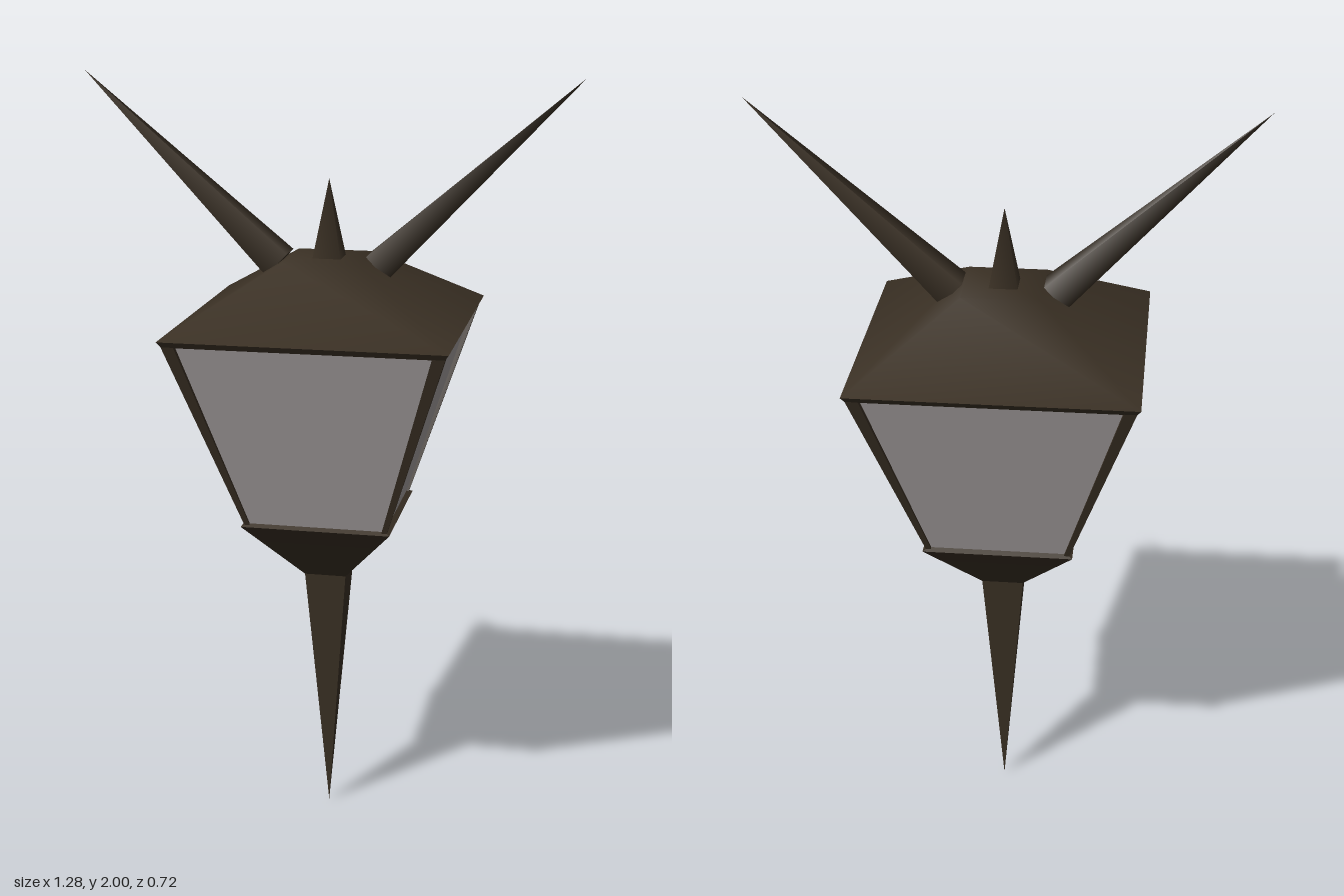
import * as THREE from 'three';
import { mergeVertices } from 'three/addons/utils/BufferGeometryUtils.js';

const ROOT2 = Math.SQRT2;

// Square solid from a profile of [half width, height], bottom to top
function squareLathe(profile, smooth) {
  const points = profile.map(([half, y]) => new THREE.Vector2(half * ROOT2, y));
  let geo = new THREE.LatheGeometry(points, 4, Math.PI / 4);
  geo.deleteAttribute('uv');
  geo.deleteAttribute('normal');
  geo = smooth ? mergeVertices(geo, 1e-4) : geo.toNonIndexed();
  geo.computeVertexNormals();
  return geo;
}

// Box whose x and z ranges differ between its bottom and top
function taperedBox(y0, y1, bottom, top) {
  const geo = new THREE.BoxGeometry(1, 1, 1);
  const p = geo.attributes.position;
  for (let i = 0; i < p.count; i++) {
    const up = p.getY(i) > 0;
    const [xMin, xMax, zMin, zMax] = up ? top : bottom;
    p.setXYZ(i, p.getX(i) > 0 ? xMax : xMin, up ? y1 : y0, p.getZ(i) > 0 ? zMax : zMin);
  }
  geo.computeVertexNormals();
  return geo;
}

// Four-sided pyramid with softly shaded sides, base at the origin
function spikeGeometry(half, height) {
  return new THREE.ConeGeometry(half * ROOT2, height, 4)
    .rotateY(Math.PI / 4)
    .translate(0, height / 2, 0);
}

export function createModel() {
  const lantern = new THREE.Group();
  lantern.name = 'lantern';
  const metal = new THREE.MeshStandardMaterial({ color: 0x3a3024 });
  metal.name = 'dark bronze';
  const glass = new THREE.MeshStandardMaterial({ color: 0xaaa4a4 });
  glass.name = 'frosted glass';

  const add = (name, geo, mat = metal) => {
    const mesh = new THREE.Mesh(geo, mat);
    mesh.name = name;
    lantern.add(mesh);
    return mesh;
  };

  // Roof and the thin rim under it
  add('roof', squareLathe([[0.36, 1.38], [0.1, 1.54], [0, 1.54]], true));
  add('roofRim', squareLathe([[0, 1.365], [0.35, 1.365], [0.36, 1.38]], false));

  // Funnel under the glass, its lid, and the long pointed stem
  add('funnel', squareLathe([[0.055, 0.69], [0.195, 0.86]], true));
  add('funnelLid', squareLathe([[0.195, 0.86], [0.175, 0.87], [0, 0.87]], false));
  add('stem', squareLathe([[0, 0], [0.055, 0.69], [0, 0.69]], false));

  // Corner posts and glass panes, one of each per side
  const postGeo = taperedBox(0.86, 1.37,
    [0.172, 0.186, 0.172, 0.186], [0.32, 0.352, 0.32, 0.352]);
  const paneGeo = taperedBox(0.865, 1.37,
    [-0.174, 0.174, 0.177, 0.181], [-0.325, 0.325, 0.334, 0.338]);
  for (let i = 0; i < 4; i++) {
    add('cornerPost', postGeo).rotation.y = i * Math.PI / 2;
    add('glassPane', paneGeo, glass).rotation.y = i * Math.PI / 2;
  }

  // Upright finial and the two slanted horns
  add('finial', spikeGeometry(0.04, 0.22)).position.y = 1.52;
  const dx = 0.508, dy = 0.48;
  const hornGeo = spikeGeometry(0.04, Math.hypot(dx, dy));
  for (const side of [-1, 1]) {
    const horn = add(side > 0 ? 'leftHorn' : 'rightHorn', hornGeo);
    horn.position.set(side * 0.13, 1.52, 0);
    horn.rotation.z = -side * Math.atan2(dx, dy);
  }
  return lantern;
}
